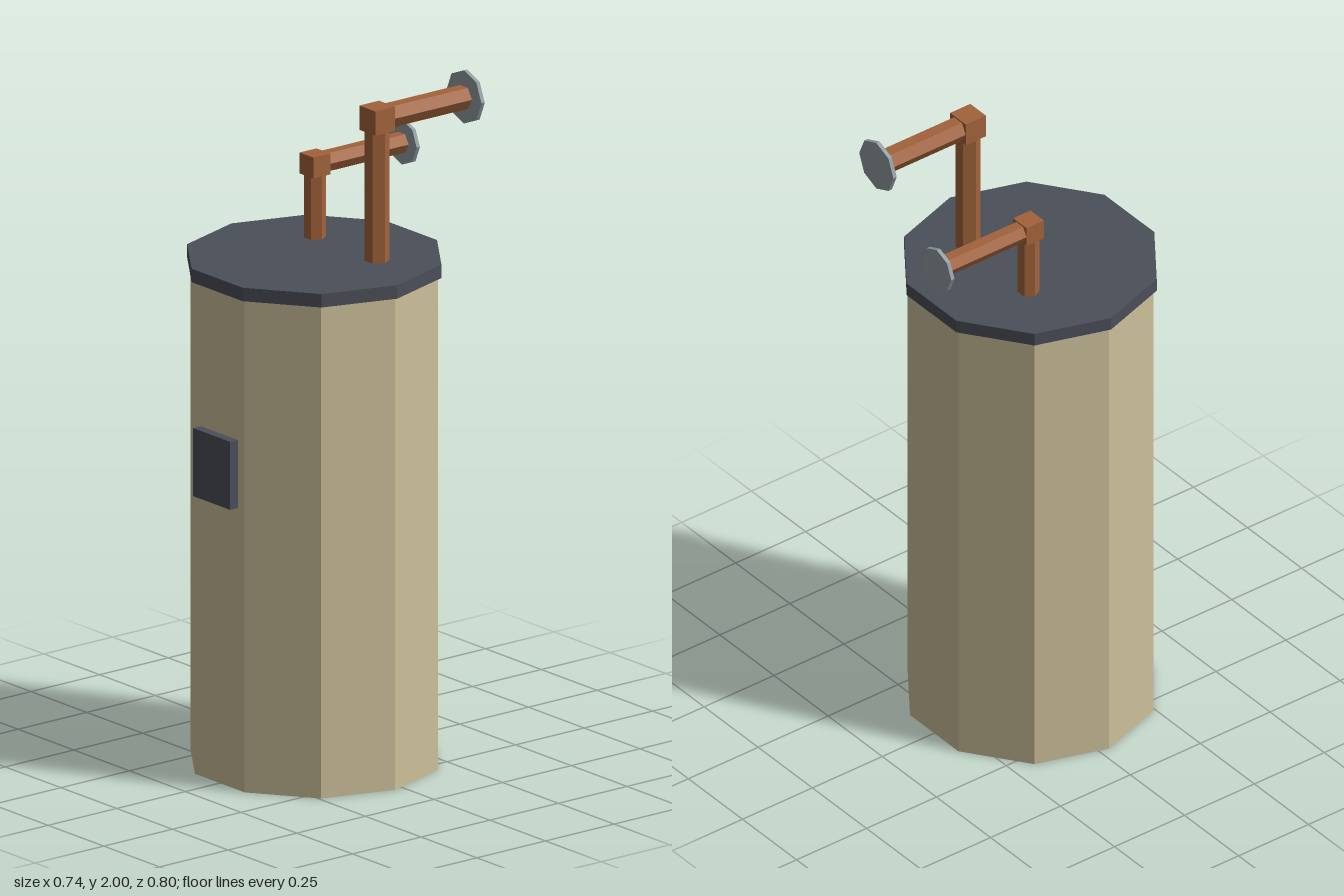
import * as THREE from 'three';

const mat = (name, color) => Object.assign(new THREE.MeshStandardMaterial({ color, flatShading: true }), { name });

export function createModel() {
  const cream = mat('cream enamel', 0xcdc19b);
  const slate = mat('dark slate', 0x4b4f59);
  const copper = mat('copper', 0xa2633b);
  const steel = mat('pale steel', 0x929da2);

  const model = new THREE.Group();
  model.name = 'waterHeater';
  const add = (parent, name, geometry, material, x, y, z) => {
    const mesh = new THREE.Mesh(geometry, material);
    mesh.name = name;
    mesh.position.set(x, y, z);
    parent.add(mesh);
    return mesh;
  };

  // Ten-sided tank and lid, each with a flat side to the front
  const decagon = (r, h) => new THREE.CylinderGeometry(r, r, h, 10).rotateY(Math.PI / 10);
  add(model, 'tank', decagon(0.362, 1.46), cream, 0, 0.73, 0.03);
  add(model, 'lid', decagon(0.372, 0.04), slate, 0, 1.48, 0.03);

  // Control box on the front
  add(model, 'controlBox', new THREE.BoxGeometry(0.166, 0.202, 0.032), slate, -0.002, 0.937, 0.386);

  // Pipe: riser from the lid, square elbow, run to the back, flange
  const lidTop = 1.5, zRiser = -0.074, zFlange = -0.396;
  const hexPipe = (r, len) => new THREE.CylinderGeometry(r, r, len, 6).rotateY(Math.PI / 6);
  const addPipe = (name, x, y, r, flangeR) => {
    const pipe = new THREE.Group();
    pipe.name = name;
    model.add(pipe);
    const rise = y - lidTop, run = zRiser - zFlange;
    add(pipe, 'riser', hexPipe(r, rise), copper, x, lidTop + rise / 2, zRiser);
    add(pipe, 'elbow', new THREE.BoxGeometry(2 * r, 2 * r, 2 * r), copper, x, y, zRiser);
    add(pipe, 'run', hexPipe(r, run).rotateX(Math.PI / 2), copper, x, y, zRiser - run / 2);
    add(pipe, 'flange', new THREE.CylinderGeometry(flangeR, flangeR, 0.012, 8).rotateX(Math.PI / 2),
      steel, x, y, zFlange);
  };
  addPipe('rightPipe', -0.125, 1.718, 0.031, 0.067);
  addPipe('leftPipe', 0.154, 1.921, 0.036, 0.079);

  return model;
}
